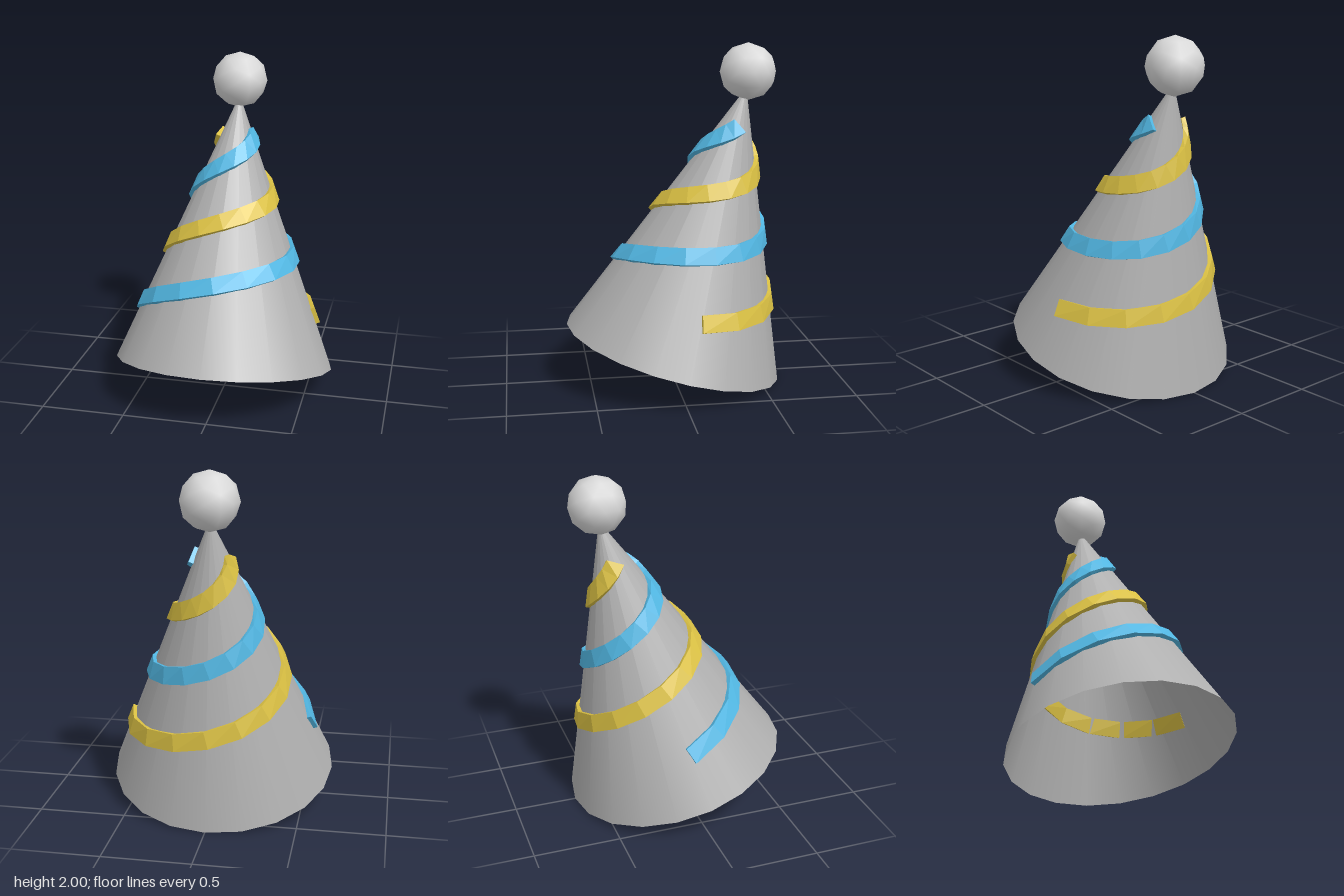
import * as THREE from 'three';

const R = 0.66, H = 1.613, SLOPE = Math.atan2(R, H);

const material = (name, color, extra = {}) => {
  const m = new THREE.MeshStandardMaterial({ color, ...extra });
  m.name = name;
  return m;
};

// Flat strip winding one and a half turns up the cone; side = 1 or -1 picks the starting side
function ribbonGeometry(side) {
  const segments = 24, halfWidth = 0.05, inner = -0.002, outer = 0.026;
  const pointAt = (t) => {
    const s = 0.315 + 0.36 * t / Math.PI, r = R * (1 - s / H);
    return new THREE.Vector3(side * r * Math.cos(t), s, -side * r * Math.sin(t));
  };
  const sections = [];
  for (let i = 0; i <= segments; i++) {
    const t = (i / segments) * Math.PI * 3;
    const p = pointAt(t);
    const tangent = pointAt(t + 0.01).sub(pointAt(t - 0.01)).normalize();
    const n = new THREE.Vector3(side * Math.cos(t) * Math.cos(SLOPE), Math.sin(SLOPE), -side * Math.sin(t) * Math.cos(SLOPE));
    const w = n.clone().cross(tangent).normalize();
    const corner = (out, across) => p.clone().addScaledVector(n, out).addScaledVector(w, across);
    sections.push([corner(inner, -halfWidth), corner(outer, -halfWidth), corner(outer, halfWidth), corner(inner, halfWidth)]);
  }
  const pts = [];
  const quad = (a, b, c, d) => pts.push(a, b, c, a, c, d);
  for (let i = 0; i < segments; i++) {
    const a = sections[i], b = sections[i + 1];
    for (let j = 0; j < 4; j++) {
      const k = (j + 1) % 4;
      quad(a[j], b[j], b[k], a[k]);
    }
  }
  quad(...sections[0]);
  quad(...sections[segments].slice().reverse());
  const g = new THREE.BufferGeometry().setFromPoints(pts);
  g.computeVertexNormals();
  return g;
}

export function createModel() {
  const model = new THREE.Group();
  model.name = 'partyHat';
  const add = (parent, name, geometry, mat) => {
    const mesh = new THREE.Mesh(geometry, mat);
    mesh.name = name;
    parent.add(mesh);
    return mesh;
  };

  // Tilted hat body with its ribbons
  const hat = new THREE.Group();
  hat.name = 'tiltedHat';
  hat.position.y = 0.177;
  hat.rotation.x = -0.272;
  model.add(hat);

  // Open paper cone
  const cone = new THREE.CylinderGeometry(0.004, R, H, 20, 1, true);
  cone.translate(0, H / 2, 0);
  add(hat, 'cone', cone, material('grey paper', 0xb0b0b0, { side: THREE.DoubleSide }));

  // Two interleaved spiral ribbons
  add(hat, 'blueRibbon', ribbonGeometry(-1), material('blue', 0x52b8e4, { flatShading: true }));
  add(hat, 'yellowRibbon', ribbonGeometry(1), material('yellow', 0xdcc244, { flatShading: true }));

  // Pompom on the tip
  const pompom = add(model, 'pompom', new THREE.IcosahedronGeometry(0.167, 1), material('light grey', 0xd8d8d8));
  pompom.position.set(0, 1.833, -0.443);

  return model;
}
